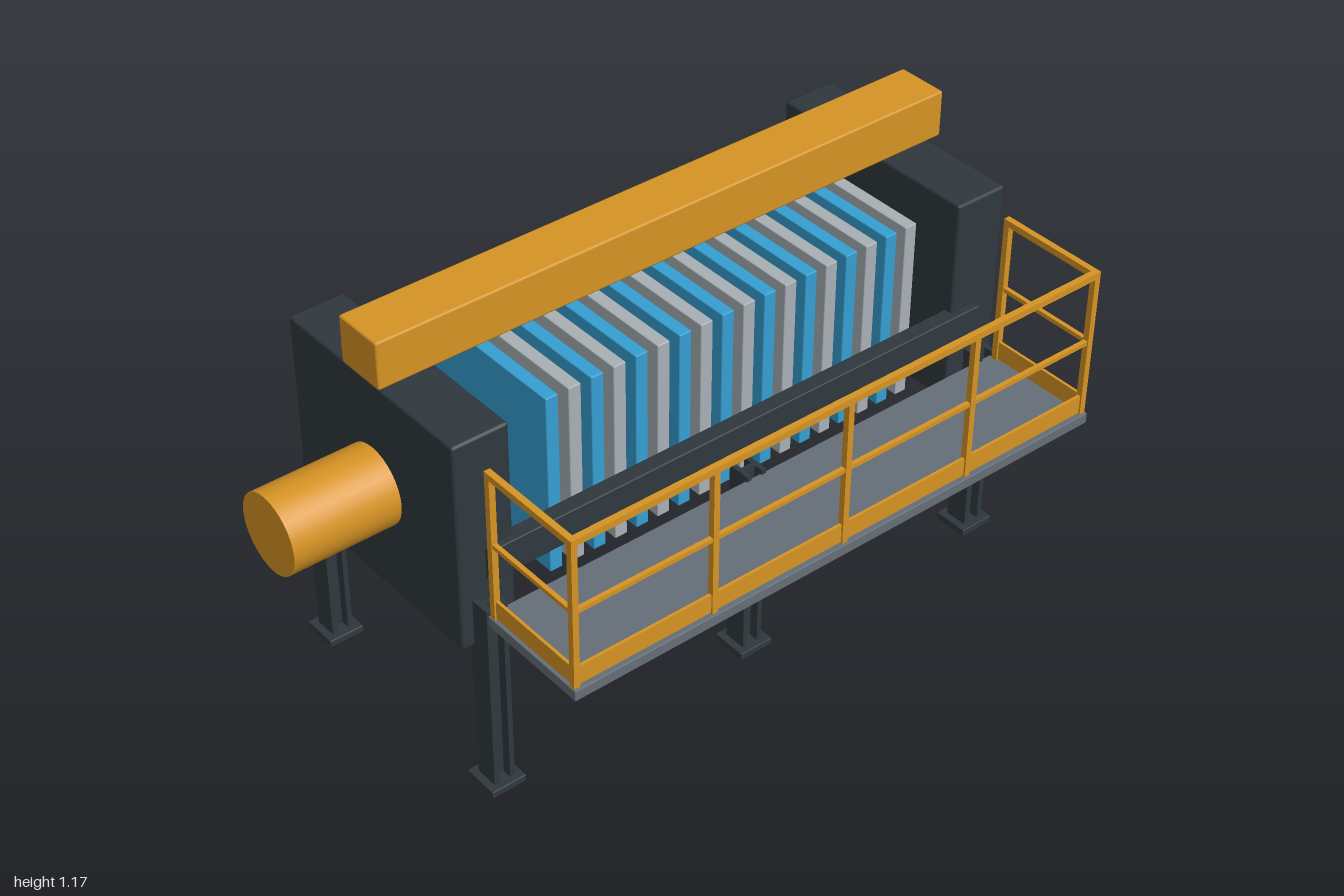
import * as THREE from 'three';
import { RoundedBoxGeometry } from 'three/addons/geometries/RoundedBoxGeometry.js';

const material = (name, color) => {
  const m = new THREE.MeshStandardMaterial({ color });
  m.name = name;
  return m;
};

export function createModel() {
  const steel = material('dark steel', 0x2f383e);
  const orange = material('safety orange', 0xd69324);
  const blue = material('plate blue', 0x369fd2);
  const silver = material('plate grey', 0xa9b0b5);
  const deck = material('deck grey', 0x656e77);

  const model = new THREE.Group();
  model.name = 'filterPress';
  const group = (name) => {
    const g = new THREE.Group();
    g.name = name;
    model.add(g);
    return g;
  };

  // Box given by its extents on each axis, with an optional small bevel
  const box = (parent, name, mat, [x0, x1], [y0, y1], [z0, z1], bevel = 0) => {
    const size = [x1 - x0, y1 - y0, z1 - z0];
    const geo = bevel ? new RoundedBoxGeometry(...size, 1, bevel) : new THREE.BoxGeometry(...size);
    const mesh = new THREE.Mesh(geo, mat);
    mesh.name = name;
    mesh.position.set((x0 + x1) / 2, (y0 + y1) / 2, (z0 + z1) / 2);
    parent.add(mesh);
  };
  const around = (c, size) => [c - size / 2, c + size / 2];

  // Cylinder lying along x
  const rod = (name, mat, x0, x1, y, z, r) => {
    const mesh = new THREE.Mesh(new THREE.CylinderGeometry(r, r, x1 - x0, 32), mat);
    mesh.name = name;
    mesh.rotation.z = Math.PI / 2;
    mesh.position.set((x0 + x1) / 2, y, z);
    model.add(mesh);
  };

  const midZ = -0.152;

  // End blocks
  box(model, 'cylinderEndBlock', steel, [-0.708, -0.553], [0.43, 1.022], [-0.476, 0.172], 0.008);
  box(model, 'fixedEndBlock', steel, [0.823, 0.978], [0.43, 1.022], [-0.476, 0.172], 0.008);

  // Side rails
  for (const s of [-1, 1]) {
    box(model, 'sideRail', steel, [-0.632, 0.905], [0.614, 0.702], around(midZ + s * 0.321, 0.044), 0.003);
  }

  // Overhead beam
  box(model, 'overheadBeam', orange, [-0.725, 0.995], [1.04, 1.17], [-0.226, -0.08], 0.006);

  // Hydraulic cylinder and ram
  rod('hydraulicCylinder', orange, -1, -0.7, 0.725, midZ, 0.106);
  rod('ram', silver, -0.56, -0.43, 0.725, midZ, 0.07);

  // Filter plate stack
  const stack = group('plateStack');
  for (let i = 0; i < 18; i++) {
    const x = -0.391 + i * 0.0652;
    box(stack, 'filterPlate', i % 2 ? silver : blue, around(x, 0.036), [0.472, 0.982], around(midZ, 0.534), 0.003);
  }

  // H-section legs on foot plates
  for (const x of [-0.645, 0.134, 0.91]) {
    for (const s of [-1, 1]) {
      const z = midZ + s * 0.346;
      const leg = group('leg');
      box(leg, 'footPlate', steel, around(x, 0.1), [0, 0.02], around(z, 0.102), 0.002);
      for (const f of [-1, 1]) {
        box(leg, 'legFlange', steel, around(x + f * 0.023, 0.014), [0.02, 0.568], around(z, 0.065));
      }
      box(leg, 'legWeb', steel, around(x, 0.034), [0.02, 0.568], around(z, 0.014));
    }
  }

  // Walkway deck
  box(model, 'walkwayDeck', deck, [-0.67, 0.942], [0.524, 0.554], [0.22, 0.549], 0.002);

  // Guard rail: posts, rails and toe boards on the front and both ends
  const guard = group('guardRail');
  const xL = -0.659, xR = 0.93, zF = 0.534, zB = 0.24, t = 0.017;
  const post = (x, z) => box(guard, 'post', orange, around(x, t), [0.554, 0.97], around(z, t));
  for (let i = 0; i < 5; i++) post(xL + (xR - xL) * i / 4, zF);
  post(xL, zB);
  post(xR, zB);
  const bars = [['topRail', 0.969, 0.018, t], ['midRail', 0.772, 0.012, 0.012], ['toeBoard', 0.584, 0.052, 0.008]];
  for (const [name, y, h, w] of bars) {
    box(guard, name, orange, [xL - w / 2, xR + w / 2], around(y, h), around(zF, w));
    for (const x of [xL, xR]) {
      box(guard, name, orange, around(x, w), around(y, h), [zB - w / 2, zF - w / 2]);
    }
  }
  return model;
}
